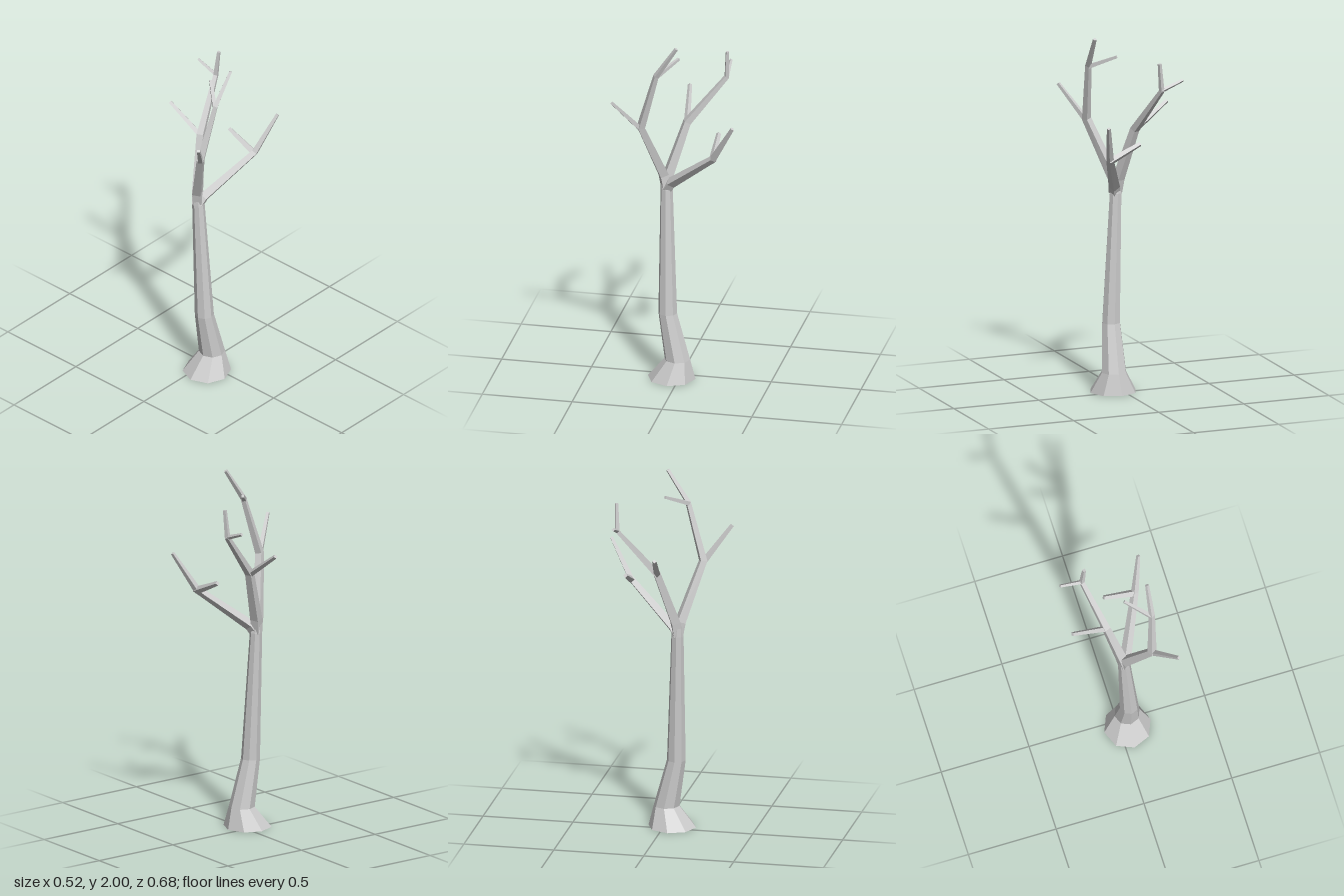
import * as THREE from 'three';

const material = new THREE.MeshStandardMaterial({ color: 0xcccccc, flatShading: true });
const UP = new THREE.Vector3(0, 1, 0);

// Faceted tapering limb through stations [x, y, z, radius], capped at both ends.
function limb(name, stations, { sides = 4, phase = Math.PI / 4, level = false } = {}) {
  const points = stations.map(([x, y, z]) => new THREE.Vector3(x, y, z));
  const last = points.length - 1;
  const heading = points[last].clone().sub(points[0]);
  const sideways = level ? new THREE.Vector3(1, 0, 0) : UP.clone().cross(heading).normalize();

  const rings = points.map((p, i) => {
    const before = p.clone().sub(points[Math.max(i - 1, 0)]).normalize();
    const after = points[Math.min(i + 1, last)].clone().sub(p).normalize();
    const t = level ? UP.clone() : before.add(after).normalize();
    const u = sideways.clone().addScaledVector(t, -sideways.dot(t)).normalize();
    const v = t.clone().cross(u);
    return Array.from({ length: sides }, (_, j) => {
      const a = phase + (j / sides) * Math.PI * 2;
      const r = stations[i][3];
      return p.clone().addScaledVector(u, r * Math.cos(a)).addScaledVector(v, r * Math.sin(a));
    });
  });

  const corners = [];
  for (let i = 0; i < last; i++) {
    for (let j = 0; j < sides; j++) {
      const k = (j + 1) % sides;
      const [a, b, c, d] = [rings[i][j], rings[i][k], rings[i + 1][k], rings[i + 1][j]];
      corners.push(a, b, c, a, c, d);
    }
  }
  for (let j = 1; j < sides - 1; j++) {
    corners.push(rings[0][0], rings[0][j + 1], rings[0][j]);
    corners.push(rings[last][0], rings[last][j], rings[last][j + 1]);
  }
  const geometry = new THREE.BufferGeometry().setFromPoints(corners);
  geometry.computeVertexNormals();
  const mesh = new THREE.Mesh(geometry, material);
  mesh.name = name;
  return mesh;
}

export function createModel() {
  const tree = new THREE.Group();
  tree.name = 'bareTree';

  // Octagonal trunk with a flared foot and a slight lean
  tree.add(limb('trunk', [
    [0.047, 0, 0.043, 0.132],
    [0.055, 0.115, 0.01, 0.071],
    [0.049, 0.38, 0.065, 0.052],
    [0.017, 1.1, 0.078, 0.034],
    [0.013, 1.16, 0.084, 0.026],
  ], { sides: 8, phase: 0, level: true }));

  // Branch reaching to the right and back
  tree.add(limb('rightBranch', [
    [0.015, 1.1, 0.08, 0.034],
    [0.004, 1.18, 0.07, 0.034],
    [-0.055, 1.47, -0.02, 0.026],
    [-0.13, 1.725, -0.225, 0.016],
    [-0.115, 1.88, -0.232, 0.011],
  ]));
  tree.add(limb('rightLowerTwig', [[-0.05, 1.46, -0.02, 0.018], [-0.255, 1.607, 0.007, 0.012]], { phase: 0 }));
  tree.add(limb('rightUpperTwig', [[-0.125, 1.725, -0.225, 0.013], [-0.255, 1.773, -0.221, 0.009]], { phase: 0 }));

  // Branch reaching forward, then bending back up to the crown
  tree.add(limb('frontBranch', [
    [0.018, 1.1, 0.078, 0.034],
    [0.022, 1.18, 0.093, 0.033],
    [0.14, 1.5, 0.195, 0.026],
    [0.167, 1.82, 0.105, 0.017],
    [0.175, 1.995, -0.01, 0.011],
  ]));
  tree.add(limb('frontLowerTwig', [[0.14, 1.49, 0.195, 0.018], [0.25, 1.677, 0.333, 0.011]]));
  tree.add(limb('frontUpperTwig', [[0.167, 1.812, 0.11, 0.016], [0.04, 1.88, 0.005, 0.01]]));

  // Branch reaching to the back left
  tree.add(limb('backBranch', [
    [0.022, 1.1, 0.078, 0.033],
    [0.035, 1.14, 0.052, 0.031],
    [0.168, 1.36, -0.212, 0.021],
    [0.225, 1.572, -0.333, 0.011],
  ], { phase: 0 }));
  tree.add(limb('backTwig', [[0.175, 1.35, -0.21, 0.022], [-0.012, 1.435, -0.205, 0.013]], { phase: 0 }));

  return tree;
}
